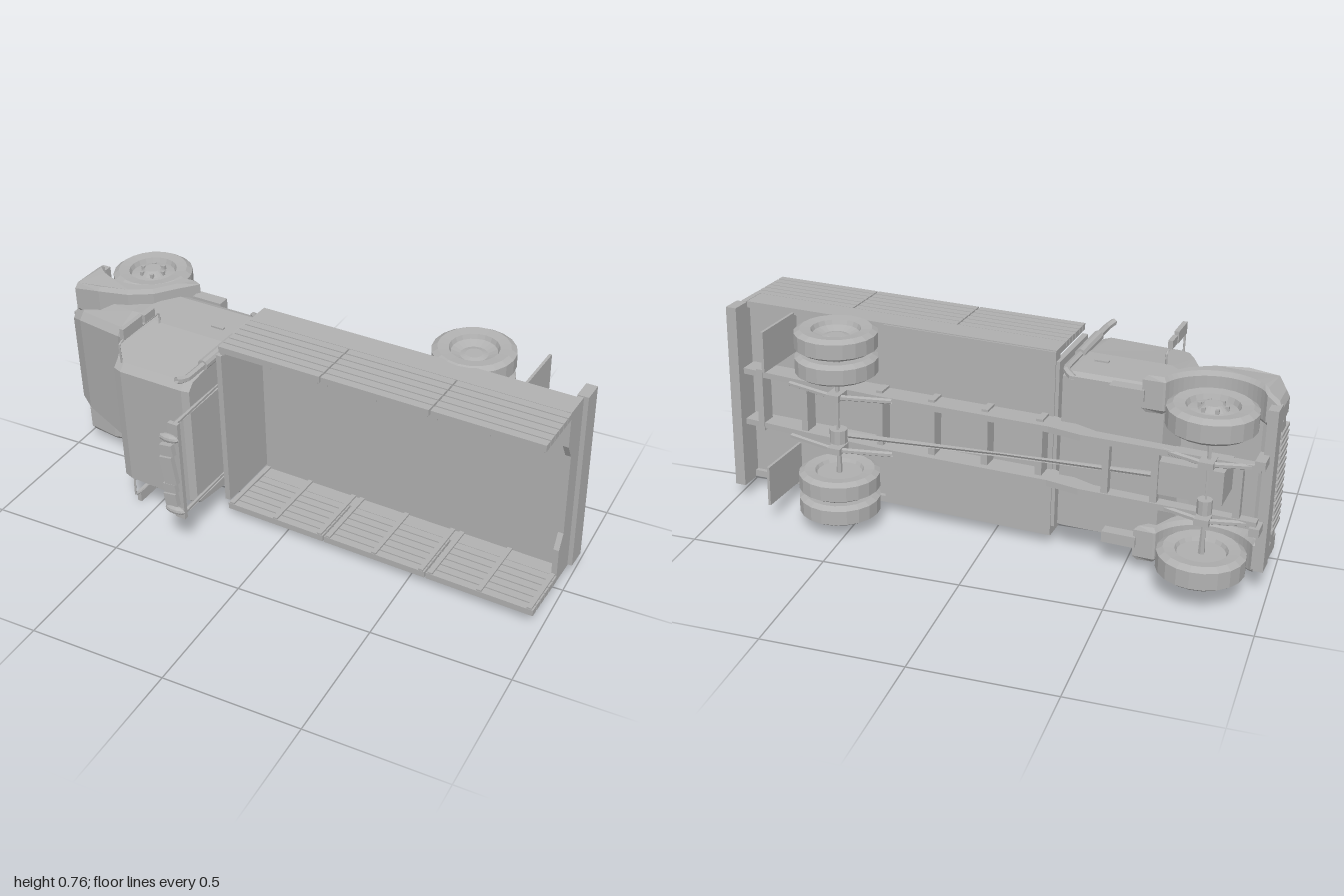
import * as THREE from 'three';

// Truck lying on its side: x runs nose (-) to tail (+), y across, z from wheels to roof.
export function createModel() {
  const grey = new THREE.MeshStandardMaterial({ color: 0xb0b0b0, flatShading: true, side: THREE.DoubleSide });
  grey.name = 'plain grey';
  const root = new THREE.Group();
  const truck = new THREE.Group();
  truck.name = 'truck';
  root.add(truck);

  const add = (name, geo, x = 0, y = 0, z = 0) => {
    const m = new THREE.Mesh(geo, grey);
    m.name = name;
    m.position.set(x, y, z);
    truck.add(m);
    return m;
  };
  // box given by its limits on each axis
  const box = (name, x0, x1, y0, y1, z0, z1) =>
    add(name, new THREE.BoxGeometry(x1 - x0, y1 - y0, z1 - z0), (x0 + x1) / 2, (y0 + y1) / 2, (z0 + z1) / 2);
  const tube = (name, pts, r, seg = 12) =>
    add(name, new THREE.TubeGeometry(new THREE.CatmullRomCurve3(pts.map(p => new THREE.Vector3(...p)), false, 'catmullrom', 0.1), seg, r, 6));
  const rod = (name, a, b, r) => tube(name, [a, b], r, 1);

  // skin through cross-sections: [x, zBottom, zTop, halfWidthBottom, halfWidthTop]
  const loft = (sections) => {
    const pos = [], idx = [];
    const ring = ([x, b, t, wb, wt]) => {
      const c = Math.min(0.025, (t - b) * 0.3);
      const mid = b + (t - b) * 0.45;
      const half = [[wb - 0.01, b], [wb, b + c], [wb, mid], [wt, t - c], [wt - c, t]];
      return [...half, ...half.slice().reverse().map(([y, z]) => [-y, z])].map(([y, z]) => [x, y, z]);
    };
    const rings = sections.map(ring), n = rings[0].length;
    rings.forEach(r => r.forEach(p => pos.push(...p)));
    for (let s = 0; s < rings.length - 1; s++)
      for (let i = 0; i < n; i++) {
        const a = s * n + i, b = s * n + (i + 1) % n;
        idx.push(a, a + n, b, b, a + n, b + n);
      }
    const last = (rings.length - 1) * n;
    for (let i = 1; i < n - 1; i++) idx.push(0, i, i + 1, last, last + i + 1, last + i);
    const g = new THREE.BufferGeometry();
    g.setAttribute('position', new THREE.Float32BufferAttribute(pos, 3));
    g.setIndex(idx);
    g.computeVertexNormals();
    return g;
  };

  // bonnet and cab
  add('bonnetAndCab', loft([
    [-1.0, -0.1, -0.01, 0.23, 0.18],
    [-0.985, -0.08, 0.03, 0.25, 0.2],
    [-0.93, -0.06, 0.06, 0.27, 0.22],
    [-0.70, -0.05, 0.13, 0.285, 0.255],
    [-0.66, -0.06, 0.15, 0.29, 0.27],
    [-0.62, -0.155, 0.235, 0.29, 0.265],
    [-0.585, -0.155, 0.305, 0.29, 0.255],
    [-0.55, -0.155, 0.317, 0.29, 0.255],
    [-0.29, -0.155, 0.322, 0.29, 0.26],
    [-0.265, -0.155, 0.31, 0.287, 0.255],
  ]));

  // fenders with wheel arches, rounded in plan at the nose
  const fender = new THREE.Shape();
  fender.moveTo(-1.0, -0.14);
  [[-1.0, -0.02], [-0.96, 0.03], [-0.85, 0.03], [-0.74, 0.0], [-0.66, -0.05], [-0.6, -0.13], [-0.55, -0.19], [-0.62, -0.19]]
    .forEach(p => fender.lineTo(...p));
  fender.absarc(-0.8, -0.24, 0.18, 0.3, 2.55, false);
  fender.closePath();
  for (const s of [-1, 1]) {
    const g = new THREE.ExtrudeGeometry(fender, { depth: 0.1, bevelEnabled: true, bevelThickness: 0.015, bevelSize: 0.012, bevelOffset: -0.012, bevelSegments: 1, curveSegments: 10 });
    g.rotateX(Math.PI / 2).translate(0, s * 0.275 + 0.05, 0);
    const p = g.attributes.position;
    for (let i = 0; i < p.count; i++)
      if (s * p.getY(i) > 0.28) p.setY(i, p.getY(i) - s * Math.max(0, -0.94 - p.getX(i)) * 0.8);
    add('fender', g);
    box('doorHandle', -0.38, -0.33, s * 0.29 - 0.006, s * 0.29 + 0.006, -0.02, -0.005);
    box('cabStep', -0.56, -0.44, s * 0.27 - 0.02, s * 0.27 + 0.02, -0.2, -0.155);
    // headlamp beside the grille
    const lamp = add('headlamp', new THREE.CylinderGeometry(0.03, 0.03, 0.02, 12), -0.99, s * 0.25, -0.06);
    lamp.rotation.z = Math.PI / 2;
  }

  // grille and bumper
  for (let i = 0; i < 15; i++) {
    const y = -0.175 + i * 0.025;
    box('grilleBar', -1.006, -0.985, y - 0.006, y + 0.006, -0.12, 0.0);
  }
  box('bumper', -1.0, -0.965, -0.29, 0.29, -0.19, -0.12);
  for (const s of [-1, 1]) box('bumperBracket', -0.985, -0.95, s * 0.12 - 0.015, s * 0.12 + 0.015, -0.25, -0.17);

  // mirrors on bent arms
  for (const s of [-1, 1]) {
    tube('mirrorArm', [[-0.56, s * 0.25, 0.29], [-0.56, s * 0.33, 0.29], [-0.56, s * 0.33, 0.06], [-0.56, s * 0.28, 0.06]], 0.004, 24);
    box('mirror', -0.572, -0.555, s * 0.352 - 0.021, s * 0.352 + 0.021, 0.16, 0.27);
    box('lowerMirror', -0.572, -0.555, s * 0.35 - 0.015, s * 0.35 + 0.015, 0.085, 0.145);
  }

  // roof rack behind the cab with lamps, set a little to one side
  const rackY = -0.023;
  for (const s of [-1, 1]) {
    rod('rackPost', [-0.255, rackY + s * 0.192, -0.1], [-0.255, rackY + s * 0.192, 0.43], 0.009);
    const beacon = add('beacon', new THREE.SphereGeometry(0.016, 10, 6), -0.26, rackY + s * 0.153, 0.45);
    beacon.scale.x = 2.6;
  }
  box('rackBar', -0.275, -0.235, rackY - 0.2, rackY + 0.2, 0.415, 0.432);
  [[-0.115, 0.025], [-0.065, 0.018], [0.01, 0.055], [0.095, 0.022]].forEach(([y, w]) => {
    const l = box('rackLamp', -0.3, -0.25, rackY + y - w, rackY + y + w, 0.433, 0.453);
    l.rotation.z = 0.15;
  });

  // exhaust stack
  tube('exhaust', [[-0.3, 0.28, -0.16], [-0.265, 0.29, -0.12], [-0.265, 0.29, 0.31], [-0.28, 0.3, 0.355]], 0.013, 24);
  add('muffler', new THREE.CylinderGeometry(0.02, 0.02, 0.2, 10), -0.265, 0.29, 0.12).rotation.x = Math.PI / 2;

  // cargo bed
  box('bedFloor', -0.23, 0.97, -0.345, 0.345, -0.108, -0.085);
  box('underPanel', -0.23, 0.41, -0.345, 0.345, -0.13, -0.108);
  box('headboard', -0.243, -0.222, -0.31, 0.31, -0.125, 0.17);
  for (const s of [-1, 1]) {
    const y0 = s * 0.337 - 0.012, y1 = s * 0.337 + 0.012;
    box('bedSide', -0.23, 0.97, y0, y1, -0.125, -0.03);
    // three sections of slatted boards
    for (let k = 0; k < 3; k++) {
      const x0 = -0.23 + k * 0.404, x1 = x0 + 0.398;
      for (let i = 0; i < 6; i++) {
        const z = -0.028 + i * 0.034;
        box('slat', x0, x1, y0, y1, z, z + 0.029);
      }
      for (const x of [x0 + 0.015, (x0 + x1) / 2, x1 - 0.015])
        box('slatPost', x - 0.009, x + 0.009, s * 0.322 - 0.004, s * 0.322 + 0.004, -0.1, 0.17);
    }
    box('mudflap', 0.765, 0.775, s * 0.258 - 0.075, s * 0.258 + 0.075, -0.345, -0.108);
  }

  // tailgate with a lowered middle, and rear sill
  const gate = new THREE.Shape([[-0.35, -0.13], [0.35, -0.13], [0.35, -0.03], [0.215, -0.03], [0.16, -0.06],
    [-0.16, -0.06], [-0.215, -0.03], [-0.35, -0.03]].map(p => new THREE.Vector2(...p)));
  const gateGeo = new THREE.ExtrudeGeometry(gate, { depth: 0.02, bevelEnabled: false });
  gateGeo.rotateX(Math.PI / 2).rotateZ(Math.PI / 2);
  add('tailgate', gateGeo, 0.955, 0, 0);
  box('rearSill', 0.95, 0.99, -0.35, 0.35, -0.212, -0.135);

  // chassis rails with a drop towards the nose
  const rail = new THREE.Shape([[-0.97, -0.2], [-0.4, -0.185], [-0.24, -0.125], [0.95, -0.108], [0.95, -0.18], [0.7, -0.2],
    [0.4, -0.215], [-0.24, -0.215], [-0.36, -0.235], [-0.97, -0.235]].map(p => new THREE.Vector2(...p)));
  for (const s of [-1, 1]) {
    const g = new THREE.ExtrudeGeometry(rail, { depth: 0.022, bevelEnabled: false });
    g.rotateX(Math.PI / 2);
    add('chassisRail', g, 0, s * 0.1 + 0.011, 0);
    // leaf springs
    for (const [x, l] of [[-0.8, 0.16], [0.537, 0.2]]) {
      tube('leafSpring', [[x - l, s * 0.102, -0.22], [x, s * 0.102, -0.265], [x + l, s * 0.102, -0.22]], 0.01);
      box('springClamp', x - 0.025, x + 0.025, s * 0.102 - 0.012, s * 0.102 + 0.012, -0.285, -0.215);
    }
  }
  for (const x of [-0.9, -0.62, -0.45]) box('crossMember', x - 0.012, x + 0.012, -0.1, 0.1, -0.23, -0.2);
  for (const x of [-0.2, 0.0, 0.2, 0.4, 0.7, 0.88])
    box('crossMember', x - 0.012, x + 0.012, -0.12, 0.12, -0.19, -0.13);
  box('engineSump', -0.85, -0.62, -0.06, 0.06, -0.22, -0.08);
  rod('driveShaft', [-0.62, 0, -0.2], [0.5, -0.05, -0.235], 0.01);

  // wheels: tyre and dished rim turned around the axle
  const wheelGeo = (r, w, hub) => new THREE.LatheGeometry([
    [0, -w * 0.3], [r * 0.55, -w * 0.3], [r * 0.6, -w * 0.45], [r * 0.86, -w * 0.5], [r, -w * 0.34],
    [r, w * 0.34], [r * 0.86, w * 0.5], [r * 0.6, w * 0.45], [r * 0.55, w * 0.25], [r * 0.33, hub * 0.6], [r * 0.2, hub], [0, hub],
  ].map(p => new THREE.Vector2(...p)), 20);
  const wheel = (name, x, y, r, w, hub) => {
    const m = add(name, wheelGeo(r, w, hub), x, y, -0.24);
    if (y < 0) m.rotation.x = Math.PI;
  };
  for (const s of [-1, 1]) {
    wheel('frontWheel', -0.8, s * 0.26, 0.15, 0.09, 0.045);
    wheel('rearOuterWheel', 0.537, s * 0.314, 0.146, 0.078, 0.012);
    wheel('rearInnerWheel', 0.537, s * 0.222, 0.146, 0.078, 0.0);
    // ring of wheel nuts
    for (let i = 0; i < 6; i++) {
      const a = i * Math.PI / 3, x = -0.8 + Math.cos(a) * 0.045, z = -0.24 + Math.sin(a) * 0.045;
      box('wheelNut', x - 0.006, x + 0.006, s * 0.292 - 0.01, s * 0.292 + 0.01, z - 0.006, z + 0.006);
    }
  }
  for (const x of [-0.8, 0.537]) rod('axle', [x, -0.28, -0.24], [x, 0.28, -0.24], 0.014);
  add('differential', new THREE.CylinderGeometry(0.032, 0.032, 0.05, 10), 0.537, -0.055, -0.24);
  add('frontDifferential', new THREE.CylinderGeometry(0.026, 0.026, 0.05, 10), -0.8, -0.055, -0.25);

  // resting attitude
  truck.rotation.set(0.035, -0.065, 0.01);
  truck.position.set(0, 0.385, 0);
  return root;
}
